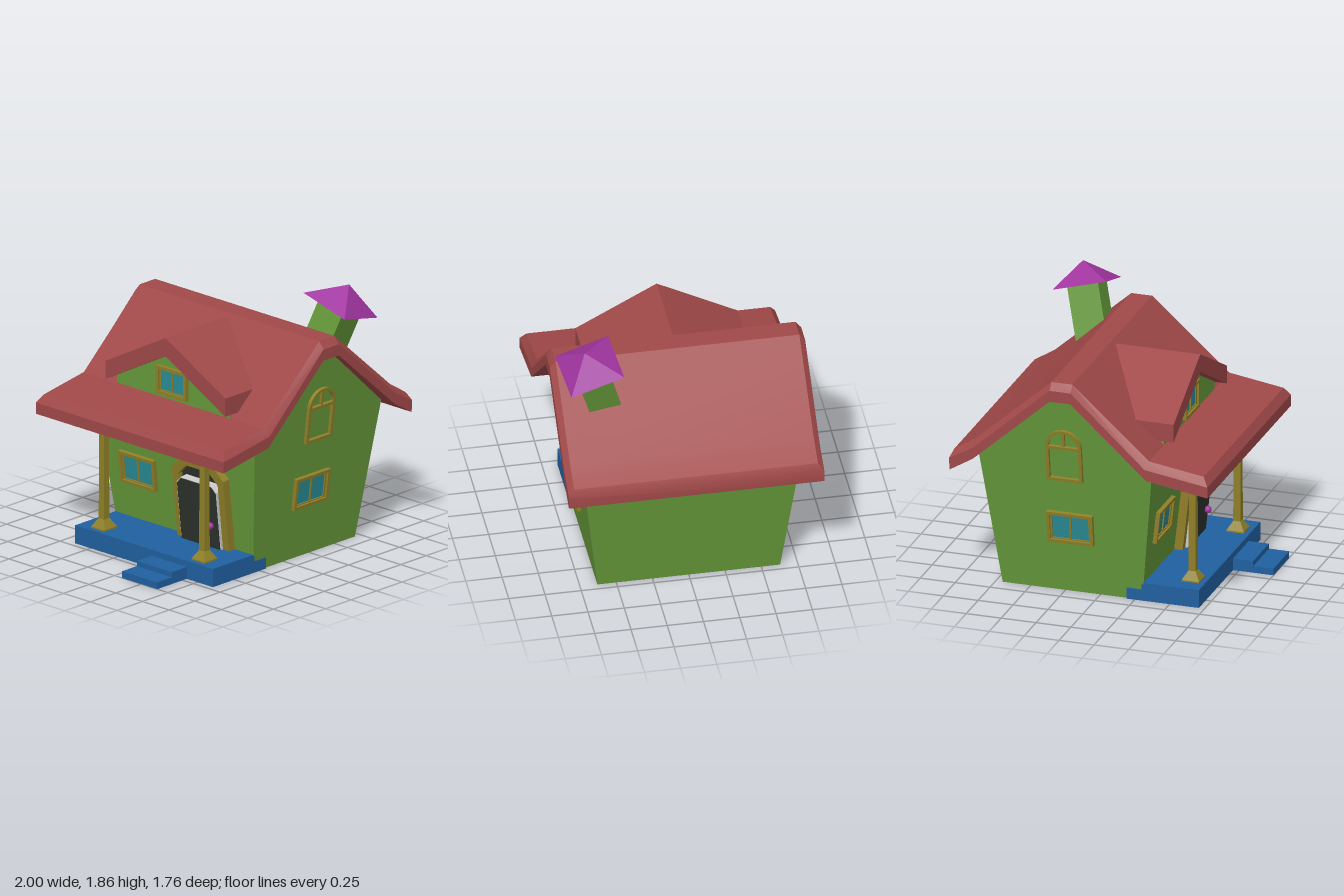
import * as THREE from 'three';
import { toCreasedNormals } from 'three/addons/utils/BufferGeometryUtils.js';

const mat = (color, extra = {}) => new THREE.MeshStandardMaterial({ color, ...extra });
const GREEN = mat(0x66993a, { side: THREE.DoubleSide });
const RED = mat(0xa04848);
const YELLOW = mat(0x8f8028, { flatShading: true });
const BLUE = mat(0x2060a0, { side: THREE.DoubleSide });
const TEAL = mat(0x2a8c96);
const PURPLE = mat(0xa035a0, { side: THREE.DoubleSide, flatShading: true });
const DARK = mat(0x2c322c);
const GREY = mat(0xcccccc);

function mesh(name, geometry, material, x = 0, y = 0, z = 0) {
  const m = new THREE.Mesh(geometry, material);
  m.name = name;
  m.position.set(x, y, z);
  return m;
}

// Skin through equal loops of [x, y, z], with both ends capped
function loft(loops, closed = true) {
  const pos = [], n = loops[0].length;
  const tri = (...p) => p.forEach(q => pos.push(...q));
  for (let s = 0; s < loops.length - 1; s++) {
    const a = loops[s], b = loops[s + 1];
    for (let i = 0; i < (closed ? n : n - 1); i++) {
      const j = (i + 1) % n;
      tri(a[i], a[j], b[j]);
      tri(a[i], b[j], b[i]);
    }
  }
  const first = loops[0], last = loops[loops.length - 1];
  for (let i = 1; i < n - 1; i++) {
    tri(first[0], first[i + 1], first[i]);
    tri(last[0], last[i], last[i + 1]);
  }
  const g = new THREE.BufferGeometry();
  g.setAttribute('position', new THREE.Float32BufferAttribute(pos, 3));
  g.computeVertexNormals();
  return g;
}

const poly = pts => new THREE.Shape(pts.map(p => new THREE.Vector2(...p)));
const rect = (x0, y0, x1, y1) => poly([[x0, y0], [x1, y0], [x1, y1], [x0, y1]]);
// Door outline with clipped top corners
const clipped = (w, h, c) => poly([[-w, 0], [w, 0], [w, h - c], [w - c, h], [c - w, h], [-w, h - c]]);

function slab(shape, depth, holes = []) {
  shape.holes.push(...holes);
  return new THREE.ExtrudeGeometry(shape, { depth, bevelEnabled: false, curveSegments: 12 });
}

function rectWindow(name, w = 0.33, h = 0.23) {
  const g = new THREE.Group(), a = w / 2, b = h / 2;
  g.name = name;
  g.add(mesh('windowFrame', slab(rect(-a, -b, a, b), 0.04,
    [rect(0.022 - a, 0.022 - b, a - 0.022, b - 0.022)]), YELLOW, 0, 0, -0.01));
  g.add(mesh('windowSash', slab(rect(0.02 - a, 0.02 - b, a - 0.02, b - 0.02), 0.025,
    [rect(0.035 - a, 0.03 - b, -0.006, b - 0.03), rect(0.006, 0.03 - b, a - 0.035, b - 0.03)]), YELLOW, 0, 0, -0.01));
  g.add(mesh('windowGlass', new THREE.BoxGeometry(w - 0.05, h - 0.05, 0.012), TEAL));
  return g;
}

function archWindow(name) {
  const g = new THREE.Group(), outer = new THREE.Shape(), light = new THREE.Path();
  g.name = name;
  outer.moveTo(-0.128, 0).lineTo(0.128, 0).lineTo(0.128, 0.26);
  outer.absarc(0, 0.26, 0.128, 0, Math.PI).closePath();
  light.moveTo(-0.105, 0.265).lineTo(0.105, 0.265);
  light.absarc(0, 0.265, 0.105, 0, Math.PI).closePath();
  g.add(mesh('archFrame', slab(outer, 0.035, [rect(-0.105, 0.022, 0.105, 0.245), light]), YELLOW, 0, 0, -0.01));
  g.add(mesh('archMullion', new THREE.BoxGeometry(0.018, 0.11, 0.025), YELLOW, 0, 0.315, 0.005));
  return g;
}

// Puts a part on one of the outward-leaning walls
function onWall(part, wall, along, y) {
  part.rotation.order = 'YXZ';
  if (wall === 'porch') {
    part.rotation.set(Math.atan(0.112), -Math.PI / 2, 0);
    part.position.set(-0.3 - 0.112 * y, y, along);
  } else {
    const s = wall === 'front' ? 1 : -1;
    part.rotation.set(Math.atan(0.125), s > 0 ? 0 : Math.PI, 0);
    part.position.set(along, y, s * (0.63 + 0.125 * y));
  }
  return part;
}

// Box that is open underneath
function openBox(name, x0, x1, h, z0, z1) {
  const g = new THREE.BoxGeometry(x1 - x0, h, z1 - z0);
  const idx = Array.from(g.index.array);
  idx.splice(18, 6);
  g.setIndex(idx);
  g.clearGroups();
  return mesh(name, g, BLUE, (x0 + x1) / 2, h / 2, (z0 + z1) / 2);
}

export function createModel() {
  const house = new THREE.Group();
  house.name = 'house';

  // Walls flare outwards and are open at the ground
  const gable = [[0.7, 0], [0.83, 0.98], [0.28, 1.47], [0.13, 1.47], [-0.41, 0.98], [-0.3, 0]];
  const wallLoop = s => gable.map(([x, y]) => [x, y, s * (0.63 + 0.125 * y)]);
  house.add(mesh('walls', loft([wallLoop(-1), wallLoop(1)], false), GREEN));

  // Main roof: [underside, rim, top] at each station from eave to eave
  const stations = [
    [[-0.85, 0.91], [-0.85, 0.99], [-0.85, 0.99]],
    [[-0.85, 0.91], [-0.85, 0.99], [-0.81, 1.05]],
    [[-0.41, 0.98], [-0.4, 1.06], [-0.42, 1.11]],
    [[0.13, 1.47], [0.13, 1.55], [0.13, 1.6]],
    [[0.28, 1.47], [0.28, 1.55], [0.28, 1.6]],
    [[0.83, 0.98], [0.83, 1.06], [0.825, 1.115]],
    [[0.995, 0.88], [1, 0.965], [0.975, 1.02]],
    [[0.995, 0.88], [1, 0.965], [1, 0.965]],
  ];
  const roof = loft(stations.map(([b, m, t]) => [
    [...b, -0.88], [...m, -0.88], [...t, -0.84], [...t, 0.84], [...m, 0.88], [...b, 0.88]]));
  house.add(mesh('mainRoof', toCreasedNormals(roof, 0.5), RED));

  // Dormer roof runs back into the main slope
  const chevron = [[0, 1.58], [0.56, 1.28], [0.56, 1.15], [0, 1.45], [-0.56, 1.15], [-0.56, 1.28]];
  const dormer = loft([
    chevron.map(([z, y]) => [-0.5, y, z]),
    chevron.map(([z, y]) => [-0.41 + (y - 1.11) * 1.122, y, z])]);
  house.add(mesh('dormerRoof', dormer, RED));
  const dormerWall = mesh('dormerWall', slab(poly([[-0.53, 1.05], [0.53, 1.05], [0.53, 1.17],
    [0, 1.46], [-0.53, 1.17]]), 0.02), GREEN, -0.4, 0, 0);
  dormerWall.rotation.y = -Math.PI / 2;
  house.add(dormerWall);
  const dormerWindow = rectWindow('dormerWindow', 0.28, 0.2);
  dormerWindow.position.set(-0.42, 1.24, 0);
  dormerWindow.rotation.y = -Math.PI / 2;
  house.add(dormerWindow);

  // Windows
  for (const wall of ['front', 'back']) {
    house.add(onWall(rectWindow(wall + 'Window'), wall, 0.19, 0.49));
    house.add(onWall(archWindow(wall + 'ArchWindow'), wall, 0.213, 0.85));
  }
  house.add(onWall(rectWindow('porchWindow'), 'porch', -0.38, 0.5));

  // Door in its frame
  const door = new THREE.Group();
  door.name = 'door';
  door.add(mesh('doorFrame', slab(clipped(0.24, 0.62, 0.1), 0.065, [clipped(0.185, 0.56, 0.08)]), YELLOW, 0, 0, -0.005));
  door.add(mesh('doorSlab', slab(clipped(0.185, 0.47, 0.04), 0.08), GREY));
  door.add(mesh('doorFace', slab(clipped(0.18, 0.465, 0.04), 0.004), DARK, 0, 0, 0.079));
  door.add(mesh('doorInset', slab(clipped(0.19, 0.565, 0.08), 0.02), DARK));
  door.add(mesh('doorKnob', new THREE.SphereGeometry(0.026, 12, 8), mat(0xa035a0), 0.12, 0.18, 0.1));
  house.add(onWall(door, 'porch', 0.235, 0.13));

  // Porch deck and steps
  house.add(openBox('porchDeck', -0.71, -0.3, 0.13, -0.645, 0.645));
  house.add(openBox('deckSill', -0.3, -0.19, 0.08, -0.645, 0.645));
  house.add(openBox('upperStep', -0.855, -0.71, 0.085, 0.07, 0.4));
  house.add(openBox('lowerStep', -1, -0.855, 0.048, 0.07, 0.4));

  // Square porch posts with flared ends
  const postProfile = [[0, 0.13], [0.062, 0.13], [0.062, 0.14], [0.026, 0.2], [0.023, 0.88], [0.062, 0.94], [0.062, 0.97]]
    .map(([r, y]) => new THREE.Vector2(r * Math.SQRT2, y));
  for (const z of [-0.47, 0.47]) {
    const post = mesh('porchPost', new THREE.LatheGeometry(postProfile, 4), YELLOW, -0.61, 0, z);
    post.rotation.y = Math.PI / 4;
    house.add(post);
  }

  // Crooked chimney with a pyramid cap
  const chimney = new THREE.Group();
  chimney.name = 'chimney';
  const ax = new THREE.Vector3(0.966, -0.235, -0.117).normalize();
  const ay = new THREE.Vector3(0.052, -0.287, 0.958).cross(ax).normalize();
  const az = ax.clone().cross(ay);
  chimney.quaternion.setFromRotationMatrix(new THREE.Matrix4().makeBasis(ax, ay, az));
  chimney.position.set(0.535, 1.71, 0.652);
  chimney.add(mesh('chimneyStack', new THREE.BoxGeometry(0.22, 0.5, 0.22), GREEN, 0, -0.2, 0));
  const cap = mesh('chimneyCap', new THREE.ConeGeometry(0.272, 0.16, 4, 1, true), PURPLE, 0, 0.08, 0);
  cap.rotation.y = Math.PI / 4;
  chimney.add(cap);
  house.add(chimney);

  return house;
}
